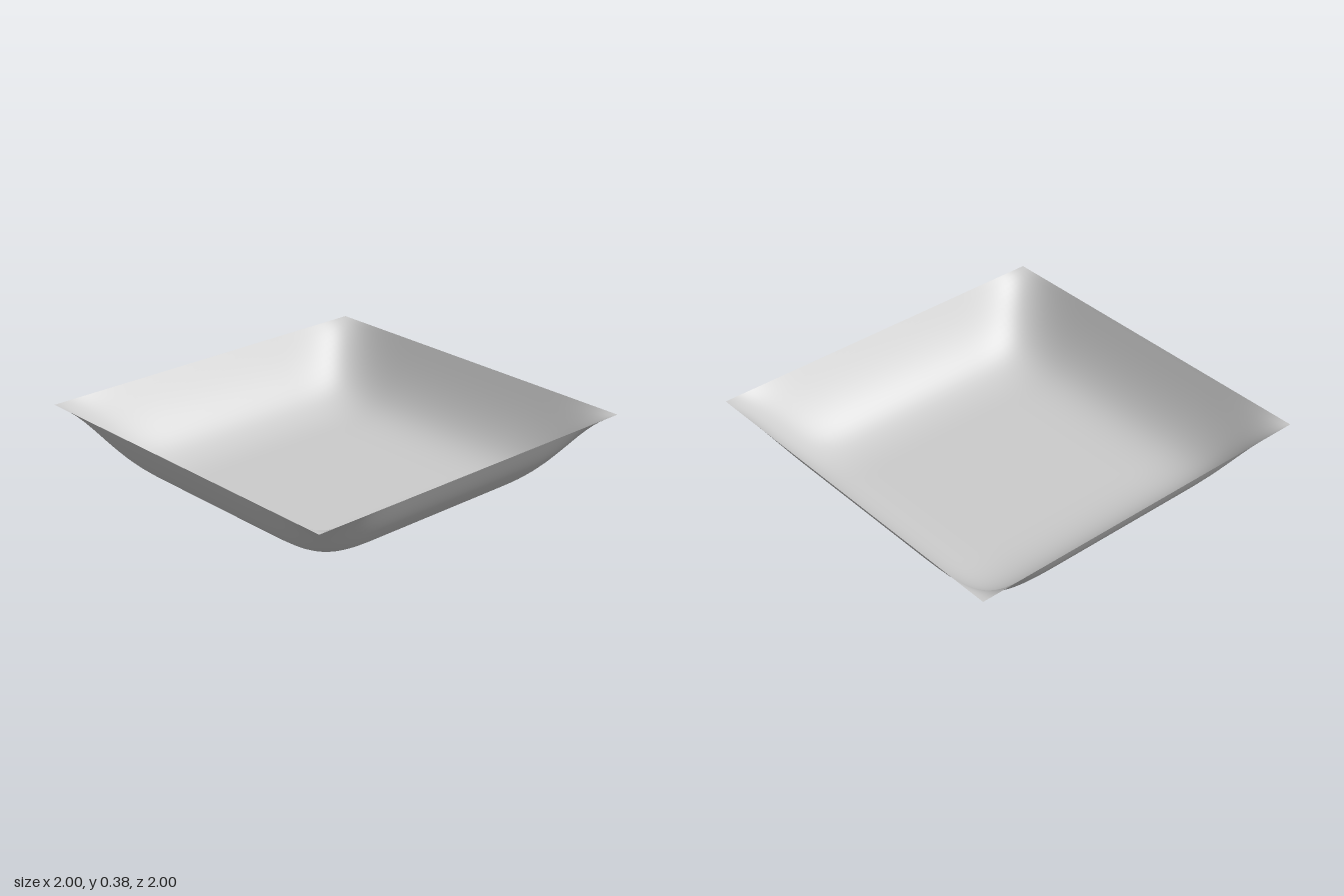
import * as THREE from 'three';

const HEIGHT = 0.375;
const SEGMENTS = 60;

// Control values across the tray: position, and depth below the rim.
// The outermost values are ghosts that pin the curve to the rim.
const across = [-1.24, -1, -0.76, -0.4, 0, 0.4, 0.76, 1, 1.24];
const depth = [-1, 0, 1, 1, 1, 1, 1, 0, -1];

// Uniform cubic B-spline, u in 0..1
function spline(points, u) {
  const spans = points.length - 3;
  const i = Math.min(Math.floor(u * spans), spans - 1);
  const t = u * spans - i;
  const s = 1 - t;
  const weights = [
    s ** 3,
    3 * t ** 3 - 6 * t ** 2 + 4,
    3 * s ** 3 - 6 * s ** 2 + 4,
    t ** 3,
  ];
  return weights.reduce((sum, w, k) => sum + w * points[i + k], 0) / 6;
}

export function createModel() {
  const group = new THREE.Group();
  group.name = 'squareTray';

  // Thin sheet sagging from a straight square rim to a flat floor
  const geometry = new THREE.PlaneGeometry(1, 1, SEGMENTS, SEGMENTS);
  geometry.rotateX(-Math.PI / 2);
  const pos = geometry.attributes.position;
  for (let i = 0; i < pos.count; i++) {
    const u = THREE.MathUtils.clamp(pos.getX(i) + 0.5, 0, 1);
    const v = THREE.MathUtils.clamp(pos.getZ(i) + 0.5, 0, 1);
    const y = HEIGHT * (1 - spline(depth, u) * spline(depth, v));
    pos.setXYZ(i, spline(across, u), y, spline(across, v));
  }
  geometry.computeVertexNormals();

  const material = new THREE.MeshStandardMaterial({ color: 0xcccccc, side: THREE.DoubleSide });
  const tray = new THREE.Mesh(geometry, material);
  tray.name = 'traySheet';
  group.add(tray);
  return group;
}
